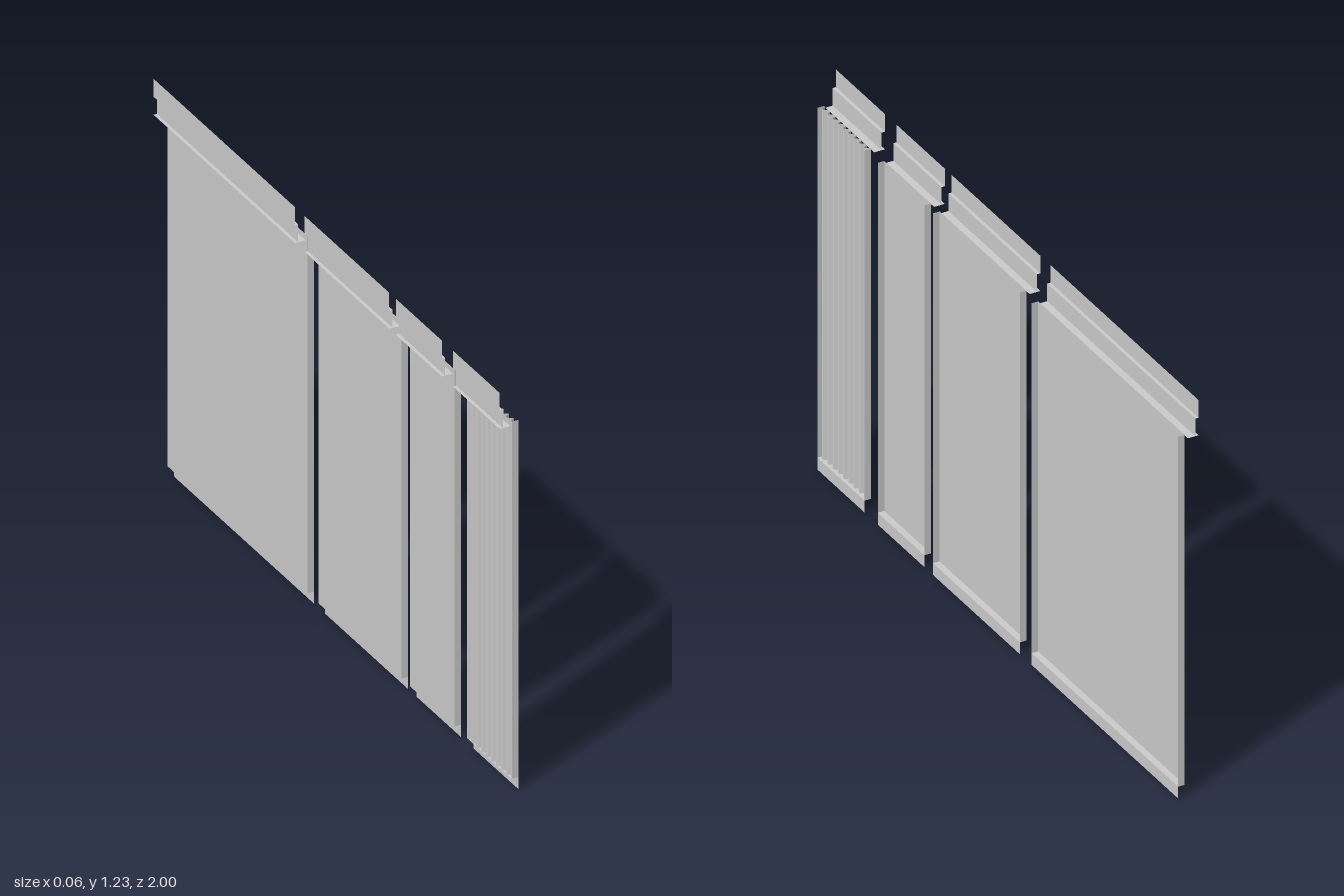
import * as THREE from 'three';

const material = new THREE.MeshStandardMaterial({ color: 0xcccccc, side: THREE.DoubleSide, flatShading: true });

// Folded thin sheet: sweeps an open path from one end to the other.
// place(a, b, t) turns a path point and a sweep value into x, y, z.
function foldedSheet(name, path, from, to, place) {
  const pos = [];
  for (let i = 0; i < path.length - 1; i++) {
    const [a, b] = path[i], [c, d] = path[i + 1];
    const p = place(a, b, from), q = place(c, d, from), r = place(c, d, to), s = place(a, b, to);
    pos.push(...p, ...q, ...r, ...p, ...r, ...s);
  }
  const geometry = new THREE.BufferGeometry();
  geometry.setAttribute('position', new THREE.Float32BufferAttribute(pos, 3));
  geometry.computeVertexNormals();
  const mesh = new THREE.Mesh(geometry, material);
  mesh.name = name;
  return mesh;
}
const alongZ = (x, y, z) => [x, y, z];
const alongY = (x, z, y) => [x, y, z];

const BACK = 0.01, FRONT = 0.03, RIDGE = 0.022; // panel depths in x
const BOTTOM = 0.037, TOP = 1.13;

// Plan of a tray panel: flange, face, flange
function panelPlan(z0, z1, ribs) {
  const plan = [[FRONT, z0], [BACK, z0]];
  const pitch = (z1 - z0) / Math.max(ribs, 1);
  for (let i = 0; i < ribs; i++) {
    const z = z0 + i * pitch;
    plan.push([BACK, z + pitch * 0.2], [RIDGE, z + pitch * 0.4], [RIDGE, z + pitch * 0.6], [BACK, z + pitch * 0.8]);
  }
  plan.push([BACK, z1], [FRONT, z1]);
  return plan;
}

export function createModel() {
  const model = new THREE.Group();
  model.name = 'panelSet';
  // Panel ends, header ends, corrugation count
  const bays = [
    { panel: [0.735, 0.995], header: [0.73, 1.0], ribs: 9 },
    { panel: [0.405, 0.662], header: [0.4, 0.666], ribs: 0 },
    { panel: [-0.122, 0.357], header: [-0.127, 0.362], ribs: 0 },
    { panel: [-0.995, -0.187], header: [-1.0, -0.183], ribs: 0 },
  ];
  bays.forEach(({ panel, header, ribs }, i) => {
    const bay = new THREE.Group();
    bay.name = `bay${i + 1}`;
    bay.add(
      foldedSheet(ribs ? 'corrugatedPanel' : 'flatPanel', panelPlan(...panel, ribs), BOTTOM, TOP, alongY),
      // Bottom ledge with its hanging apron
      foldedSheet('bottomDrip', [[BACK, BOTTOM], [FRONT, BOTTOM], [FRONT, 0]], ...panel, alongZ),
      // Header strip: upper band, step and web
      foldedSheet('headerStrip', [[-0.03, 1.23], [-0.03, 1.175], [-0.02, 1.175], [-0.02, 1.12]], ...header, alongZ),
      foldedSheet('headerLedge', [[-0.03, 1.12], [0.003, 1.12]], ...header, alongZ),
    );
    model.add(bay);
  });
  return model;
}
